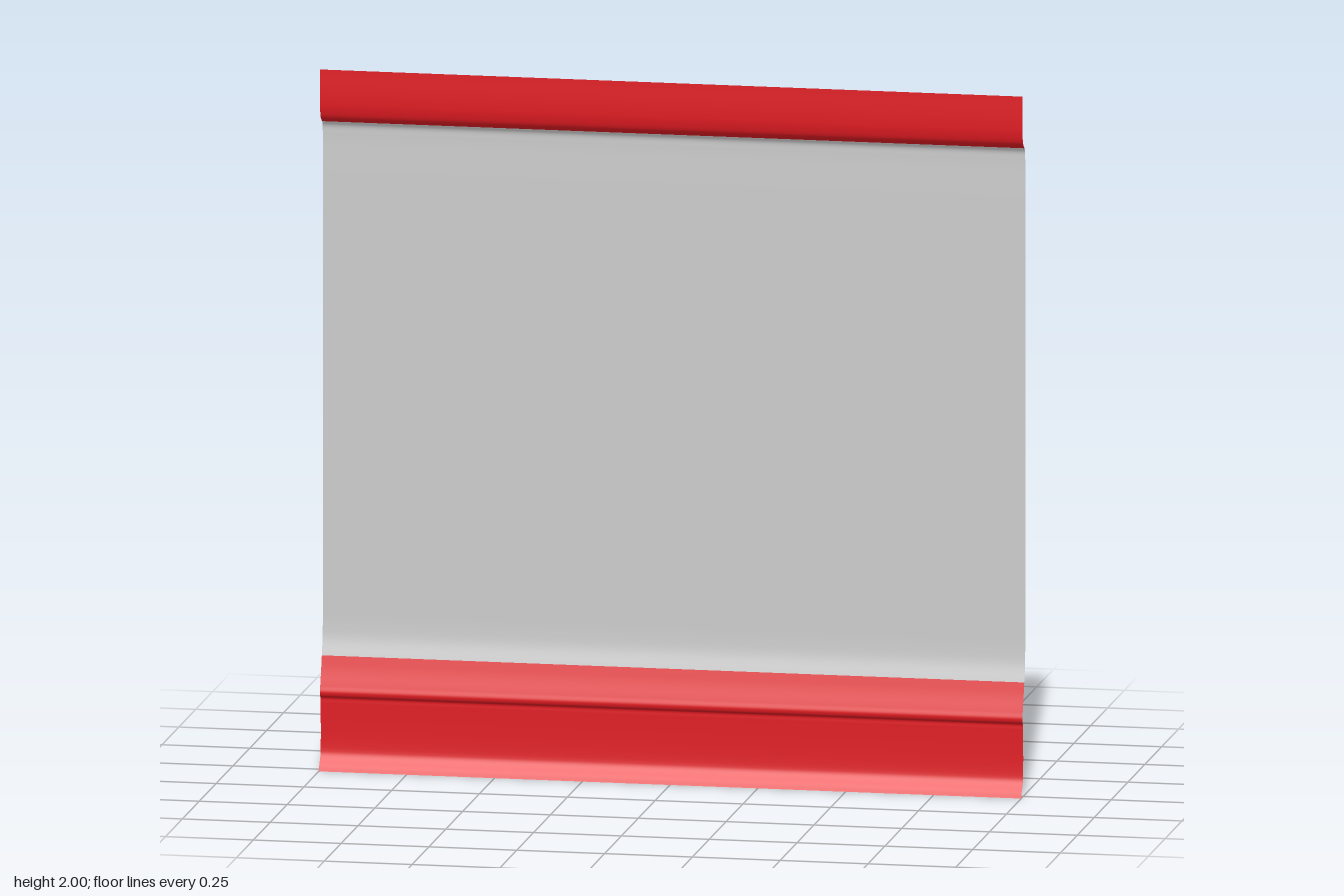
import * as THREE from 'three';

// Bends a flat strip so that its cross-section follows [z, y] points from top to bottom
function bentStrip(name, color, profile, steps) {
  const curve = new THREE.CatmullRomCurve3(
    profile.map(([z, y]) => new THREE.Vector3(0, y, z)), false, 'centripetal');
  const geometry = new THREE.PlaneGeometry(2, 1, 1, steps);
  const position = geometry.attributes.position;
  const point = new THREE.Vector3();
  for (let i = 0; i < position.count; i++) {
    curve.getPoint(Math.floor(i / 2) / steps, point);
    position.setY(i, point.y);
    position.setZ(i, point.z);
  }
  geometry.computeVertexNormals();
  const mesh = new THREE.Mesh(geometry,
    new THREE.MeshStandardMaterial({ color, side: THREE.DoubleSide }));
  mesh.name = name;
  return mesh;
}

export function createModel() {
  const group = new THREE.Group();
  group.name = 'profiledPanel';
  const red = 0xe01b22;

  // Upright flange curling back into the sheet
  group.add(bentStrip('topFlange', red, [
    [0.012, 2], [0.012, 1.92], [0.009, 1.885], [0.001, 1.862], [-0.02, 1.846],
  ], 24));

  // Flat sheet, set back, with softly bent ends
  group.add(bentStrip('sheet', 0xcccccc, [
    [-0.02, 1.846], [-0.028, 1.833], [-0.03, 1.81], [-0.03, 1.7],
    [-0.03, 0.5], [-0.03, 0.41], [-0.027, 0.37], [-0.016, 0.322],
  ], 56));

  // Sloped shoulder, small step back, flat band and a lip kicking forward
  group.add(bentStrip('bottomSkirt', red, [
    [-0.016, 0.322], [-0.006, 0.285], [0.008, 0.24], [0.013, 0.222], [0.01, 0.212],
    [0.002, 0.205], [0.001, 0.19], [0.001, 0.06], [0.005, 0.042], [0.023, 0.014], [0.03, 0],
  ], 80));

  return group;
}
